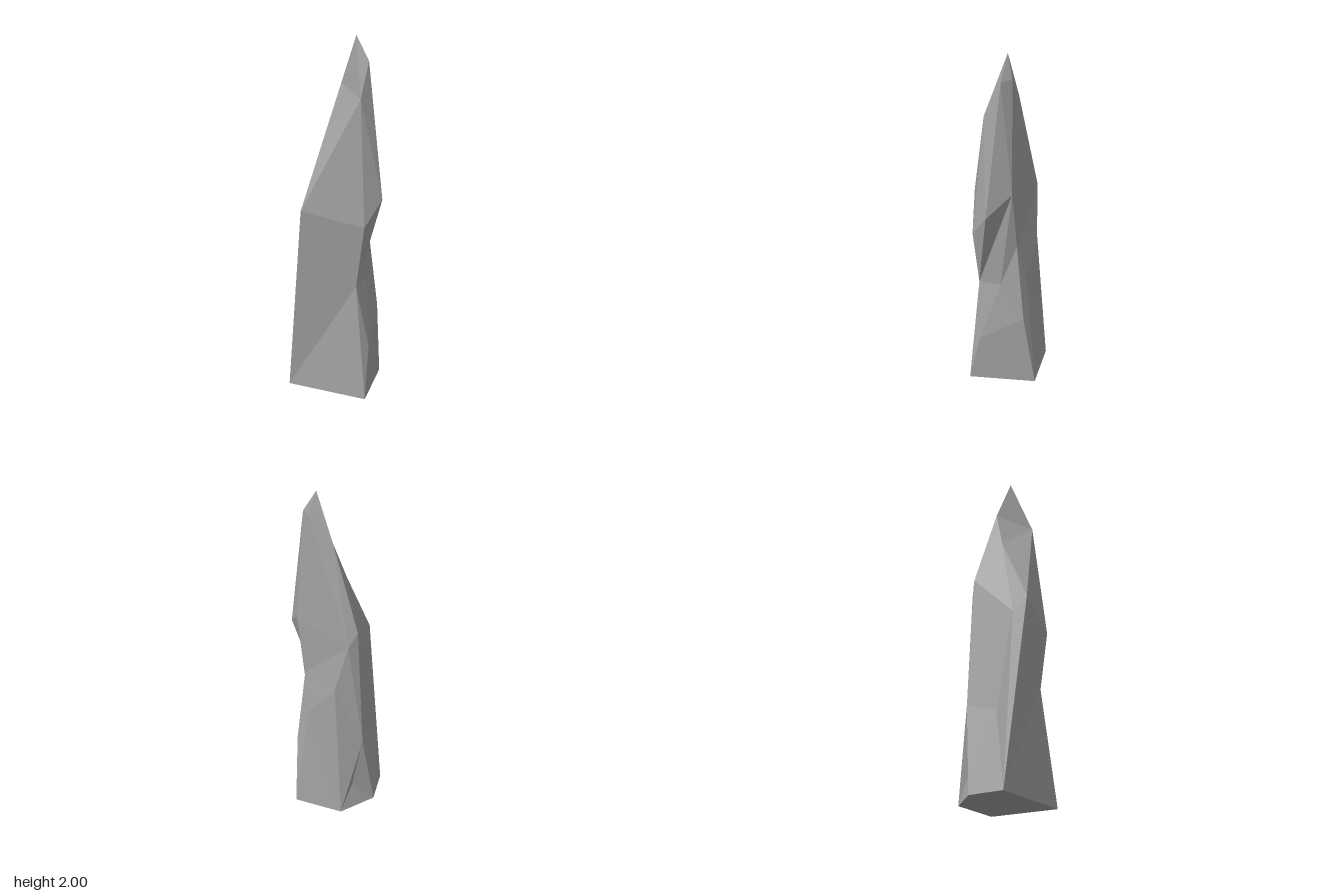
import * as THREE from 'three';

// Corner points shared by more than one ridge line
const apex = [0.05, 2, 0.07];
const baseFront = [-0.09, 0, 0.265], baseRight = [0.255, 0, 0.09];
const baseCorner = [0.165, 0, -0.185], baseBack = [-0.23, 0, -0.19];
const toe = [-0.03, 0.3, 0.24], hollow = [-0.07, 0.65, 0.18], shoulder = [-0.03, 1.68, 0.17];
const waist = [0.13, 0.91, 0.1], ledge = [0.13, 1.26, 0.15], crown = [0.09, 1.88, 0.09];
const backLow = [0.03, 0.5, -0.235], backMid = [0.04, 1.25, -0.195], backTop = [0.05, 1.74, -0.035];

// Ridge lines from base to tip, counterclockwise seen from above
const ridges = [
  // Front, with the overhanging ledge
  [baseFront, hollow, [-0.07, 1.0, 0.235], shoulder, apex],
  [baseFront, toe, hollow, [0.04, 1.14, 0.268], [0.06, 1.87, 0.15], apex],
  [baseFront, toe, hollow, ledge, crown, apex],
  [baseFront, toe, [0.055, 0.66, 0.15], ledge, crown, apex],
  // Right side
  [baseRight, [0.19, 0.45, 0.12], waist, ledge, crown, apex],
  [baseRight, [0.165, 0.67, 0.05], waist, ledge, crown, apex],
  [baseCorner, [0.13, 0.88, -0.11], [0.09, 1.17, -0.17], crown, apex],
  // Back, with a dent near the ground
  [baseCorner, [0.065, 0.15, -0.19], backLow, backMid, backTop, apex],
  [[-0.05, 0, -0.27], backLow, backMid, backTop, apex],
  [baseBack, [-0.13, 0.44, -0.16], [-0.19, 1.0, -0.1], [-0.04, 1.5, -0.06], backTop, apex],
  // Left side
  [baseBack, [-0.258, 1.08, -0.055], shoulder, apex],
];

// Fill the strip between two ridges, always climbing to the lower next point
function stitch(left, right, out) {
  const add = (a, b, c) => { if (a !== b && b !== c && a !== c) out.push(...a, ...b, ...c); };
  let i = 0, j = 0;
  while (i < left.length - 1 || j < right.length - 1) {
    const l = left[i + 1], r = right[j + 1];
    if (l && (!r || l[1] <= r[1])) { add(left[i], right[j], l); i++; }
    else { add(left[i], right[j], r); j++; }
  }
}

export function createModel() {
  const positions = [];
  ridges.forEach((ridge, k) => stitch(ridge, ridges[(k + 1) % ridges.length], positions));

  // Flat underside
  const base = [...new Set(ridges.map((ridge) => ridge[0]))];
  for (let k = 1; k < base.length - 1; k++) positions.push(...base[0], ...base[k + 1], ...base[k]);

  const geometry = new THREE.BufferGeometry();
  geometry.setAttribute('position', new THREE.Float32BufferAttribute(positions, 3));
  geometry.computeVertexNormals();

  const rock = new THREE.Mesh(geometry, new THREE.MeshStandardMaterial({ color: 0xa0a0a0, flatShading: true }));
  rock.name = 'rockSpire';
  const group = new THREE.Group();
  group.name = 'rock';
  group.add(rock);
  return group;
}
